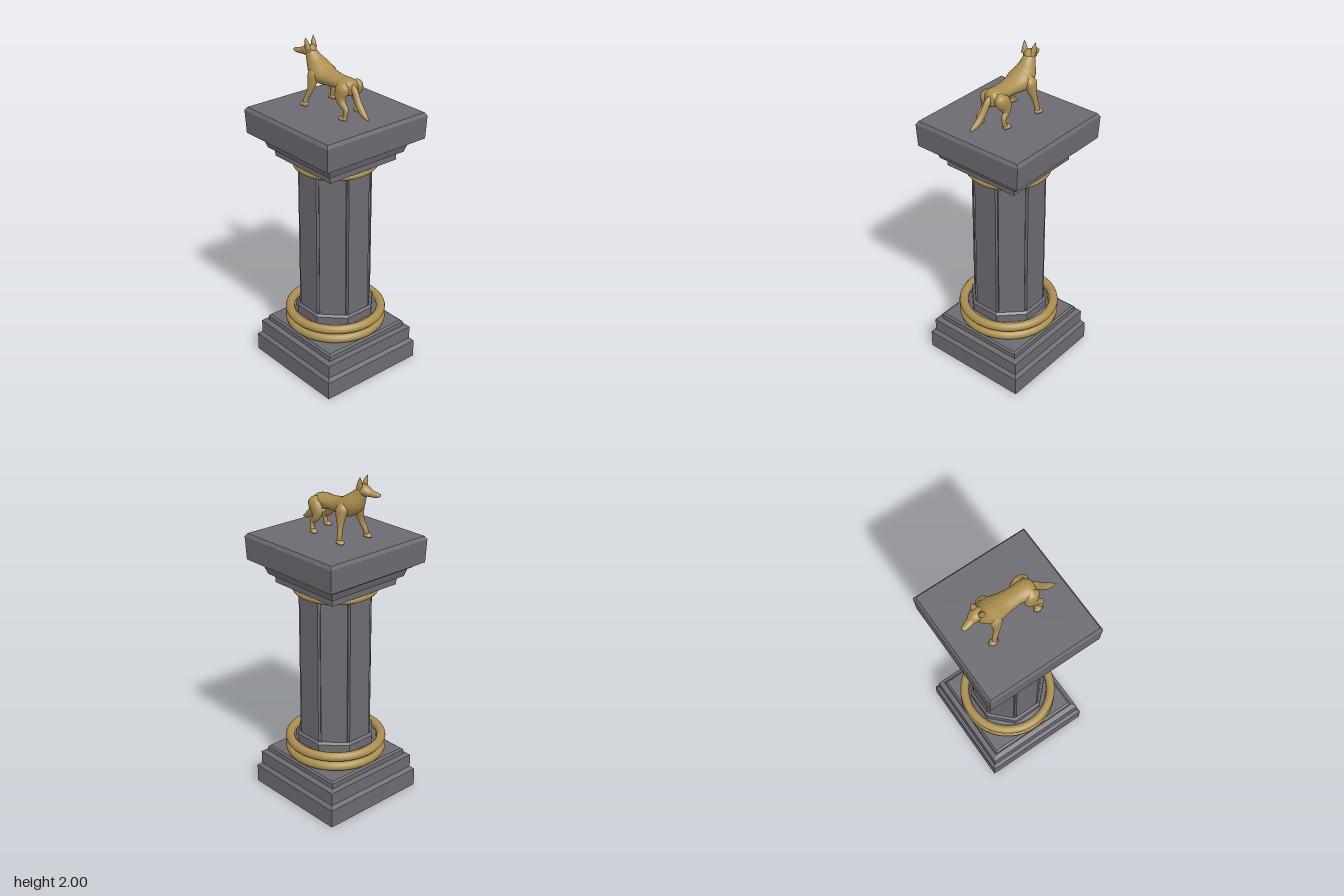
import * as THREE from 'three';

const stone = new THREE.MeshStandardMaterial({ color: 0x6c6b71, side: THREE.DoubleSide });
stone.name = 'grey stone';
const gold = new THREE.MeshStandardMaterial({ color: 0xab8e4f });
gold.name = 'old gold';

function add(parent, name, geometry, material) {
  const mesh = new THREE.Mesh(geometry, material);
  mesh.name = name;
  parent.add(mesh);
  return mesh;
}

// Stepped prism with n flat sides; profile is [half width, y] from bottom to top
function prism(n, profile) {
  const k = 1 / Math.cos(Math.PI / n);
  const pts = profile.map(([r, y]) => new THREE.Vector2(r * k, y));
  const g = new THREE.LatheGeometry(pts, n).rotateY(Math.PI / n).toNonIndexed();
  g.computeVertexNormals();
  return g;
}

// Eight flat sides with a narrow groove at each corner
function shaftGeometry(apothem, y0, y1) {
  const shape = new THREE.Shape();
  const flat = 0.076;
  for (let i = 0; i < 8; i++) {
    const a = i * Math.PI / 4;
    const c = Math.cos(a), s = Math.sin(a);
    for (const t of [-flat, flat]) {
      const x = apothem * c - t * s, y = apothem * s + t * c;
      if (i === 0 && t < 0) shape.moveTo(x, y); else shape.lineTo(x, y);
    }
    const b = a + Math.PI / 8;
    shape.lineTo(0.206 * Math.cos(b), 0.206 * Math.sin(b));
  }
  const g = new THREE.ExtrudeGeometry(shape, { depth: y1 - y0, bevelEnabled: false });
  return g.rotateX(-Math.PI / 2).translate(0, y0, 0);
}

// Smooth body through oval sections [x, y, z, radius up, radius sideways]
function loft(sections, rings = 28, sides = 18) {
  const path = new THREE.CatmullRomCurve3(sections.map(s => new THREE.Vector3(s[0], s[1], s[2])));
  const radii = new THREE.CatmullRomCurve3(sections.map(s => new THREE.Vector3(s[3], s[4], 0)));
  const pos = [], index = [];
  for (let i = 0; i <= rings; i++) {
    const f = i / rings;
    const c = path.getPoint(f), r = radii.getPoint(f), t = path.getTangent(f);
    const side = new THREE.Vector3(0, 0, 1).addScaledVector(t, -t.z).normalize();
    const up = new THREE.Vector3().crossVectors(t, side);
    for (let j = 0; j < sides; j++) {
      const a = j / sides * Math.PI * 2;
      const p = c.clone()
        .addScaledVector(side, Math.cos(a) * Math.max(r.y, 0.0005))
        .addScaledVector(up, Math.sin(a) * Math.max(r.x, 0.0005));
      pos.push(p.x, p.y, p.z);
      if (i < rings) {
        const k = (j + 1) % sides, m = i * sides, n = m + sides;
        index.push(m + j, m + k, n + j, m + k, n + k, n + j);
      }
    }
  }
  const g = new THREE.BufferGeometry();
  g.setAttribute('position', new THREE.Float32BufferAttribute(pos, 3));
  g.setIndex(index);
  g.computeVertexNormals();
  return g;
}

function createDog() {
  const dog = new THREE.Group();
  dog.name = 'dogStatue';

  add(dog, 'torsoAndNeck', loft([
    [0.168, 1.79, 0.005, 0.001, 0.001], [0.15, 1.79, 0.005, 0.04, 0.042],
    [0.11, 1.795, 0.005, 0.047, 0.062], [0.05, 1.803, 0.005, 0.038, 0.053],
    [-0.03, 1.805, 0.005, 0.045, 0.06], [-0.1, 1.815, 0.005, 0.06, 0.074],
    [-0.145, 1.845, 0.005, 0.058, 0.064], [-0.175, 1.885, 0.01, 0.043, 0.044],
    [-0.195, 1.92, 0.015, 0.03, 0.032]], 40, 24), gold);

  add(dog, 'head', loft([
    [-0.16, 1.928, 0.008, 0.001, 0.001], [-0.18, 1.928, 0.012, 0.028, 0.032],
    [-0.212, 1.922, 0.02, 0.031, 0.035], [-0.245, 1.912, 0.029, 0.02, 0.023],
    [-0.283, 1.908, 0.039, 0.014, 0.018], [-0.3, 1.909, 0.043, 0.009, 0.012],
    [-0.305, 1.909, 0.044, 0.001, 0.001]]), gold);

  // Upright ears
  for (const [name, x, z, lean] of [['rightEar', -0.2, -0.01, -0.006], ['leftEar', -0.188, 0.043, 0.008]]) {
    add(dog, name, loft([
      [x + 0.008, 1.932, z, 0.018, 0.014], [x, 1.955, z, 0.017, 0.014],
      [x - 0.004, 1.978, z + lean * 0.5, 0.011, 0.009], [x - 0.009, 2, z + lean, 0.001, 0.001]], 10, 10), gold);
  }

  add(dog, 'tail', loft([
    [0.13, 1.81, 0.005, 0.02, 0.02], [0.165, 1.785, 0.006, 0.02, 0.017],
    [0.2, 1.728, 0.01, 0.021, 0.018], [0.24, 1.685, 0.014, 0.02, 0.018],
    [0.275, 1.665, 0.018, 0.012, 0.011], [0.3, 1.656, 0.02, 0.001, 0.001]]), gold);

  // Legs: z side, shift of the foot along x
  for (const [sideName, s, front, back] of [['right', -1, 0.006, -0.035], ['left', 1, -0.008, 0.012]]) {
    const fx = -0.138 + front;
    add(dog, sideName + 'FrontLeg', loft([
      [-0.115, 1.85, s * 0.045, 0.012, 0.01], [-0.115, 1.81, s * 0.06, 0.038, 0.03],
      [-0.117, 1.765, s * 0.07, 0.029, 0.024], [-0.125, 1.715, s * 0.081, 0.016, 0.016],
      [fx, 1.665, s * 0.092, 0.014, 0.014], [fx, 1.632, s * 0.095, 0.016, 0.015]]), gold);
    add(dog, sideName + 'FrontPaw', loft([
      [fx + 0.02, 1.637, s * 0.092, 0.001, 0.001], [fx + 0.01, 1.639, s * 0.094, 0.014, 0.016],
      [fx - 0.02, 1.638, s * 0.098, 0.013, 0.021], [fx - 0.042, 1.634, s * 0.1, 0.001, 0.001]], 14, 12), gold);

    const hx = 0.145 + back;
    add(dog, sideName + 'HindLeg', loft([
      [0.12, 1.83, s * 0.035, 0.012, 0.01], [0.118, 1.795, s * 0.05, 0.045, 0.032],
      [0.106 + back * 0.4, 1.75, s * 0.057, 0.04, 0.027], [0.12 + back * 0.7, 1.715, s * 0.062, 0.024, 0.019],
      [hx + 0.01, 1.688, s * 0.067, 0.015, 0.013], [hx + 0.008, 1.66, s * 0.07, 0.012, 0.012],
      [hx, 1.633, s * 0.072, 0.014, 0.014]]), gold);
    add(dog, sideName + 'HindPaw', loft([
      [hx + 0.02, 1.637, s * 0.07, 0.001, 0.001], [hx + 0.01, 1.638, s * 0.071, 0.013, 0.015],
      [hx - 0.02, 1.637, s * 0.075, 0.012, 0.02], [hx - 0.042, 1.634, s * 0.076, 0.001, 0.001]], 14, 12), gold);
  }
  return dog;
}

export function createModel() {
  const model = new THREE.Group();
  model.name = 'pillarWithDogStatue';

  // Hollow stepped plinth, open underneath
  add(model, 'plinth', prism(4, [
    [0.342, 0], [0.342, 0.112], [0.322, 0.13], [0.322, 0.21], [0.292, 0.218],
    [0.292, 0.248], [0.28, 0.257], [0, 0.257]]), stone);

  // Eight-sided foot and grooved shaft
  add(model, 'columnFoot', prism(8, [
    [0.245, 0.257], [0.245, 0.32], [0.22, 0.345], [0.22, 0.395], [0.205, 0.408], [0, 0.408]]), stone);
  add(model, 'shaft', shaftGeometry(0.206, 0.36, 1.335), stone);

  // Gold rings
  for (const [name, y, outer, tube] of [
    ['lowerBaseRing', 0.287, 0.302, 0.027], ['upperBaseRing', 0.349, 0.302, 0.027], ['neckRing', 1.314, 0.246, 0.02]]) {
    add(model, name, new THREE.TorusGeometry(outer - tube, tube, 14, 56).rotateX(Math.PI / 2), gold).position.y = y;
  }

  // Square stepped capital
  add(model, 'capital', prism(4, [
    [0, 1.333], [0.243, 1.333], [0.243, 1.383], [0.272, 1.383], [0.288, 1.432],
    [0.303, 1.436], [0.322, 1.466], [0.355, 1.468], [0.361, 1.605], [0.349, 1.624], [0, 1.624]]), stone);

  model.add(createDog());
  return model;
}
